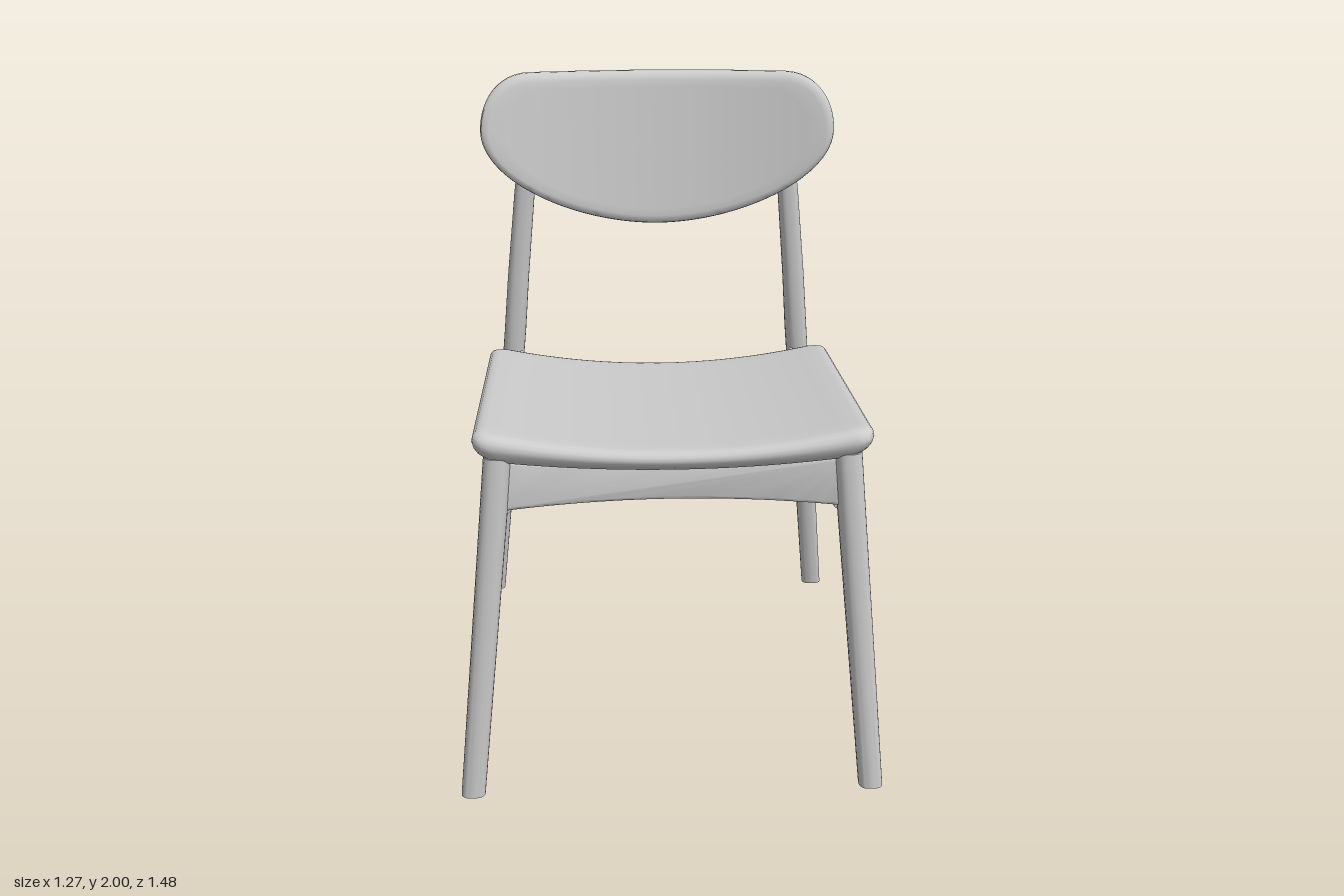
import * as THREE from 'three';
import { toCreasedNormals } from 'three/addons/utils/BufferGeometryUtils.js';

const wood = new THREE.MeshStandardMaterial({ color: 0xcccccc });
wood.name = 'pale grey';

function addMesh(group, name, geometry, crease = 0.7) {
  const mesh = new THREE.Mesh(toCreasedNormals(geometry, crease), wood);
  mesh.name = name;
  group.add(mesh);
}

// Skin a list of equal-length point rings
function loft(rings) {
  const n = rings[0].length, index = [];
  for (let j = 0; j < rings.length - 1; j++) {
    for (let i = 0; i < n; i++) {
      const k = (i + 1) % n, a = j * n + i, b = (j + 1) * n + i, c = (j + 1) * n + k, d = j * n + k;
      index.push(a, b, c, a, c, d);
    }
  }
  const geometry = new THREE.BufferGeometry();
  geometry.setAttribute('position', new THREE.Float32BufferAttribute(rings.flat(2), 3));
  geometry.setIndex(index);
  return geometry;
}

// Cushion-like slab: outline around (0,0), edge profile of [inset, depth], warped into place
function slab(outline, halfU, halfV, edge, warp) {
  const ring = (inset, depth, scale) => outline.map((p) =>
    warp(p.x * scale * (halfU - inset) / halfU, p.y * scale * (halfV - inset) / halfV, depth));
  const rings = [], steps = 10, first = edge[0], last = edge[edge.length - 1];
  for (let i = 0; i < steps; i++) rings.push(ring(first[0], first[1], i / steps));
  for (const [inset, depth] of edge) rings.push(ring(inset, depth, 1));
  for (let i = steps - 1; i >= 0; i--) rings.push(ring(last[0], last[1], i / steps));
  return loft(rings);
}

// Tapered leg with softened square sections, listed from the top: [y, x, zFront, zBack, halfWidth]
function leg(sections, side) {
  const n = 28, soft = (v) => Math.sign(v) * Math.abs(v) ** 0.75;
  const ring = ([y, x, zf, zb, w], s) => Array.from({ length: n }, (_, i) => {
    const t = i / n * Math.PI * 2;
    return [side * x + s * w * soft(Math.cos(t)), y, (zf + zb) / 2 - s * (zf - zb) / 2 * soft(Math.sin(t))];
  });
  return loft([ring(sections[0], 0), ...sections.map((s) => ring(s, 1)), ring(sections[sections.length - 1], 0)]);
}

// Board cut from a side outline, centred on its thickness
function board(shape, thickness) {
  const bevel = 0.01;
  return new THREE.ExtrudeGeometry(shape, {
    depth: thickness - 2 * bevel, bevelEnabled: true, bevelSize: bevel, bevelOffset: -bevel,
    bevelThickness: bevel, bevelSegments: 3, curveSegments: 24,
  }).translate(0, 0, bevel - thickness / 2);
}

export function createModel() {
  const chair = new THREE.Group();
  chair.name = 'chair';

  // Seat: rounded square, dished across its width and tilted back
  const hx = 0.567, hz = 0.533, r = 0.05;
  const square = new THREE.Shape();
  square.moveTo(hx, 0);
  square.absarc(hx - r, hz - r, r, 0, Math.PI / 2);
  square.absarc(-hx + r, hz - r, r, Math.PI / 2, Math.PI);
  square.absarc(-hx + r, -hz + r, r, Math.PI, Math.PI * 1.5);
  square.absarc(hx - r, -hz + r, r, Math.PI * 1.5, Math.PI * 2);
  square.closePath();
  const seatEdge = [[0.04, 1], [0.025, 0.94], [0.012, 0.78], [0.003, 0.5], [0, 0.15], [0.004, -0.2], [0.015, -0.6], [0.035, -1]];
  addMesh(chair, 'seat', slab(square.getSpacedPoints(240).slice(0, -1), hx, hz, seatEdge, (u, v, d) => {
    const z = 0.2075 - v, q = (u / hx) ** 2;
    const top = 1.056 + 0.053 * z + 0.068 * q;
    return [u, top - (0.06 + 0.03 * q) * (1 - d) / 2, z];
  }));

  // Backrest: flat-topped oval, curved around the sitter and leaning back
  const midY = 1.75;
  const oval = new THREE.Shape();
  oval.moveTo(0, 1.5 - midY);
  oval.bezierCurveTo(0.28, 1.5 - midY, 0.578, 1.66 - midY, 0.578, 1.82 - midY);
  oval.bezierCurveTo(0.578, 1.93 - midY, 0.51, 0.25, 0.42, 0.25);
  oval.lineTo(-0.42, 0.25);
  oval.bezierCurveTo(-0.51, 0.25, -0.578, 1.93 - midY, -0.578, 1.82 - midY);
  oval.bezierCurveTo(-0.578, 1.66 - midY, -0.28, 1.5 - midY, 0, 1.5 - midY);
  const backEdge = [[0.028, 1], [0.014, 0.9], [0.004, 0.65], [0, 0.3], [0, -0.3], [0.004, -0.65], [0.014, -0.9], [0.028, -1]];
  addMesh(chair, 'backrest', slab(oval.getSpacedPoints(160).slice(0, -1), 0.578, 0.25, backEdge,
    (u, v, d) => [u, midY + v, -0.433 - 0.09 * v + 0.27 * u * u + 0.035 * d]));

  // Legs and side rails, mirrored
  const frontLeg = [[1.075, 0.497, 0.722, 0.612, 0.04], [0.9, 0.513, 0.724, 0.618, 0.04], [0, 0.6, 0.726, 0.657, 0.036]];
  const backLeg = [
    [1.92, 0.41, -0.4, -0.425, 0.012], [1.85, 0.417, -0.392, -0.439, 0.025], [1.75, 0.426, -0.392, -0.455, 0.031],
    [1.6, 0.443, -0.405, -0.48, 0.034], [1.3, 0.473, -0.436, -0.53, 0.036], [1.1, 0.49, -0.457, -0.563, 0.037],
    [0.9, 0.51, -0.49, -0.597, 0.037], [0.5, 0.553, -0.58, -0.664, 0.036], [0.03, 0.6, -0.685, -0.742, 0.034],
  ];
  const sideRail = new THREE.Shape();
  sideRail.moveTo(-0.53, 0.885);
  sideRail.quadraticCurveTo(0.06, 0.94, 0.65, 0.885);
  sideRail.lineTo(0.65, 1.055);
  sideRail.lineTo(0.1, 1.015);
  sideRail.splineThru([[-0.1, 1.035], [-0.22, 1.028], [-0.35, 1.005], [-0.45, 1.02], [-0.53, 1.075]].map((p) => new THREE.Vector2(...p)));
  for (const [side, label] of [[1, 'left'], [-1, 'right']]) {
    addMesh(chair, `${label}FrontLeg`, leg(frontLeg, side));
    addMesh(chair, `${label}BackLeg`, leg(backLeg, side));
    addMesh(chair, `${label}SideRail`, board(sideRail, 0.055).rotateY(-Math.PI / 2).translate(side * 0.493, 0, 0));
  }

  // Front apron with an arched lower edge
  const apron = new THREE.Shape();
  apron.moveTo(-0.5, 0.905);
  apron.quadraticCurveTo(0, 0.967, 0.5, 0.905);
  apron.lineTo(0.5, 1.06);
  apron.quadraticCurveTo(0, 1.02, -0.5, 1.06);
  addMesh(chair, 'frontApron', board(apron, 0.05).translate(0, 0, 0.665));

  // Straight cross rail under the back of the seat
  const cross = new THREE.Shape();
  cross.moveTo(-0.48, 0.91);
  cross.lineTo(0.48, 0.91);
  cross.lineTo(0.48, 1.01);
  cross.quadraticCurveTo(0, 0.97, -0.48, 1.01);
  addMesh(chair, 'backCrossRail', board(cross, 0.05).translate(0, 0, -0.25));

  return chair;
}
